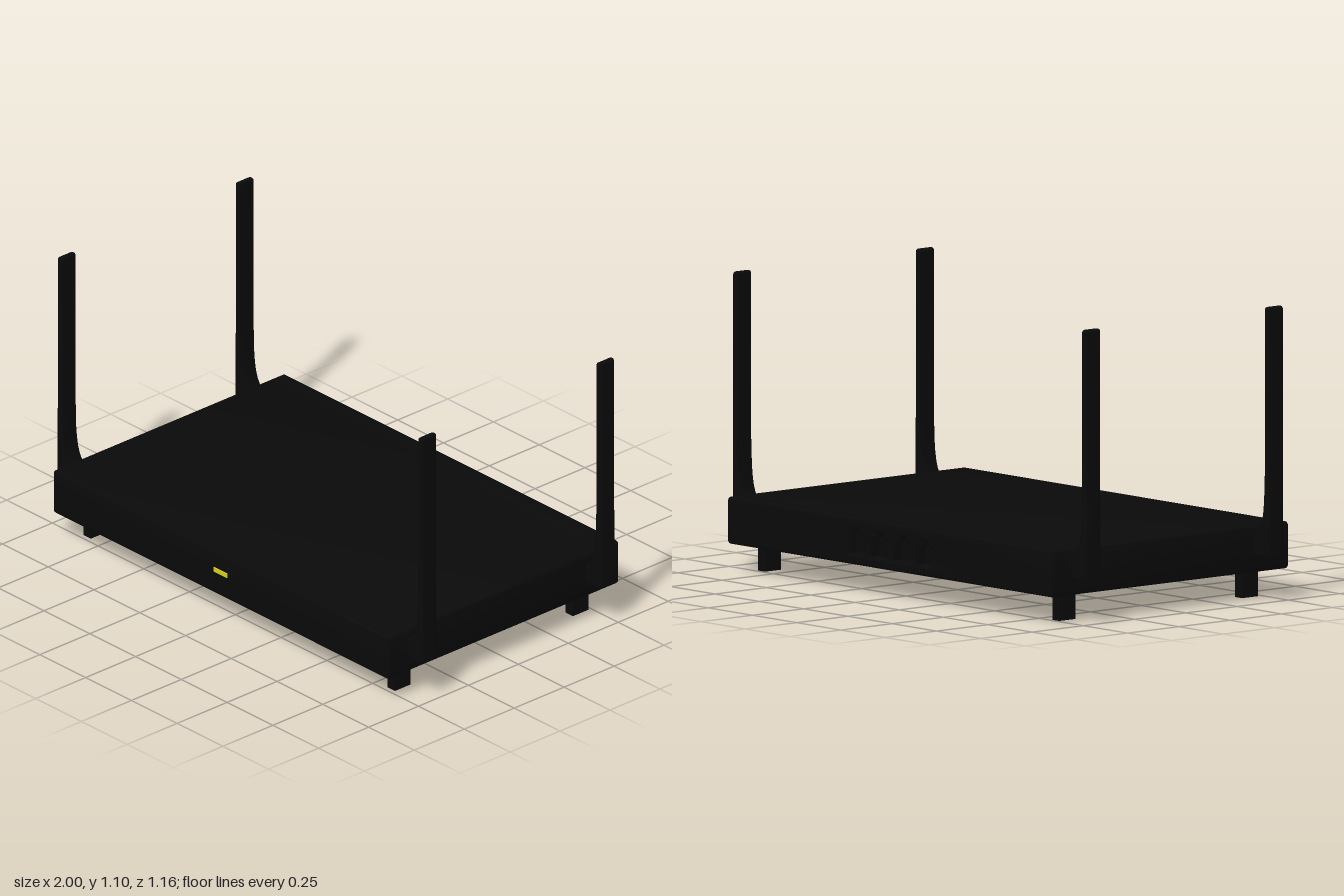
import * as THREE from 'three';
import { RoundedBoxGeometry } from 'three/addons/geometries/RoundedBoxGeometry.js';
import { toCreasedNormals } from 'three/addons/utils/BufferGeometryUtils.js';

const black = new THREE.MeshStandardMaterial({ color: 0x0a0a0a });
const yellow = new THREE.MeshStandardMaterial({ color: 0xd8d020 });

function add(parent, name, geometry, material, x = 0, y = 0, z = 0) {
  const mesh = new THREE.Mesh(geometry, material);
  mesh.name = name;
  mesh.position.set(x, y, z);
  parent.add(mesh);
  return mesh;
}

// Extrudes a shape so that the bevels stay inside z0..z1 and the outline
function extrude(shape, z0, z1, bevel) {
  const g = new THREE.ExtrudeGeometry(shape, {
    depth: z1 - z0 - 2 * bevel, bevelThickness: bevel, bevelSize: bevel,
    bevelOffset: -bevel, bevelSegments: 3, curveSegments: 8,
  });
  g.translate(0, 0, z0 + bevel);
  return toCreasedNormals(g, 0.6);
}

function roundedRect(x0, y0, x1, y1, r) {
  const s = new THREE.Shape();
  s.absarc(x1 - r, y0 + r, r, -Math.PI / 2, 0);
  s.absarc(x1 - r, y1 - r, r, 0, Math.PI / 2);
  s.absarc(x0 + r, y1 - r, r, Math.PI / 2, Math.PI);
  s.absarc(x0 + r, y0 + r, r, Math.PI, Math.PI * 1.5);
  s.closePath();
  return s;
}

// Stepped socket outline, with the latch notch at the top
function portHole(x) {
  const points = [[-0.048, 0.14], [-0.048, 0.21], [-0.024, 0.21], [-0.024, 0.235],
    [0.024, 0.235], [0.024, 0.21], [0.048, 0.21], [0.048, 0.14]];
  return new THREE.Path(points.map(([px, py]) => new THREE.Vector2(x + px, py)));
}

// Arm that leaves the case sideways and sweeps up into the blade (+x side)
function armShape() {
  const s = new THREE.Shape();
  s.moveTo(0.9, 0.168);
  s.lineTo(0.998, 0.168);
  s.lineTo(0.998, 0.47);
  s.lineTo(0.973, 0.47);
  s.bezierCurveTo(0.972, 0.34, 0.965, 0.24, 0.9, 0.236);
  s.closePath();
  return s;
}

export function createModel() {
  const model = new THREE.Group();
  model.name = 'router';

  // Case, closed at the rear by a panel with sockets
  const outline = () => roundedRect(-0.917, 0.102, 0.917, 0.278, 0.014);
  add(model, 'case', extrude(outline(), -0.535, 0.576, 0.012), black);
  const panel = outline();
  for (let i = 0; i < 4; i++) panel.holes.push(portHole((i - 1.5) * 0.13));
  add(model, 'rearPortPanel', extrude(panel, -0.582, -0.49, 0.01), black);

  // Status light
  add(model, 'statusLight', new THREE.BoxGeometry(0.075, 0.018, 0.008), yellow, 0.003, 0.203, 0.575);

  // Antennas and feet at the four corners
  const arm = extrude(armShape(), -0.0375, 0.0375, 0.005);
  const mirroredArm = arm.clone().rotateY(Math.PI);
  const blade = new RoundedBoxGeometry(0.025, 0.65, 0.078, 3, 0.011);
  const foot = new THREE.BoxGeometry(0.04, 0.12, 0.078);
  for (const side of [-1, 1]) {
    for (const z of [0.442, -0.449]) {
      const antenna = new THREE.Group();
      antenna.name = (z > 0 ? 'front' : 'rear') + (side > 0 ? 'Left' : 'Right') + 'Antenna';
      antenna.position.z = z;
      add(antenna, 'antennaArm', side > 0 ? arm : mirroredArm, black);
      add(antenna, 'antennaBlade', blade, black, side * 0.985, 0.775, 0);
      model.add(antenna);
      add(model, 'foot', foot, black, side * 0.831, 0.06, z);
    }
  }
  return model;
}
